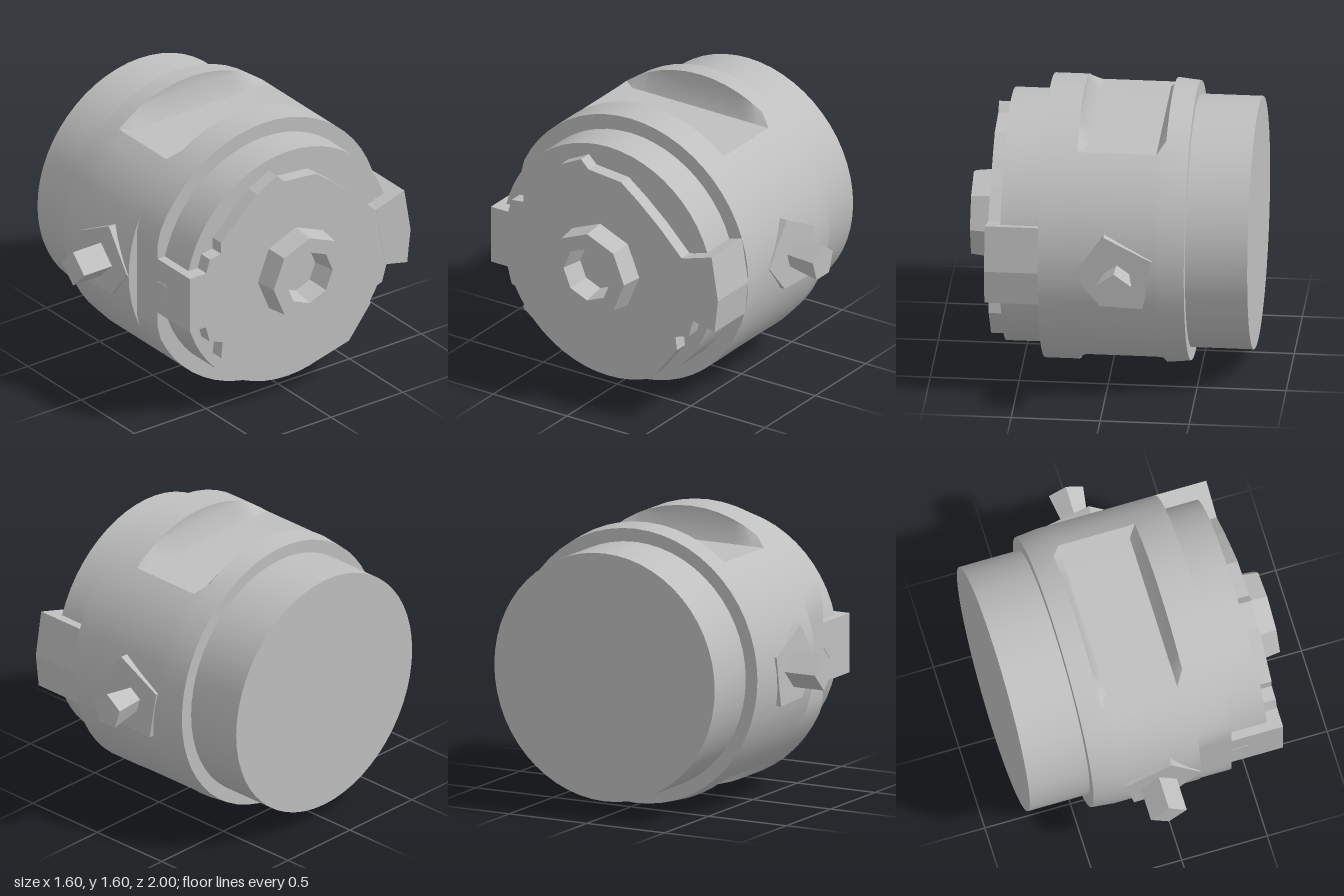
import * as THREE from 'three';
import { toCreasedNormals } from 'three/addons/utils/BufferGeometryUtils.js';

const AXIS_Y = 0.8;
const grey = new THREE.MeshStandardMaterial({ color: 0xbfbfbf });
grey.name = 'housing grey';

function add(group, name, geometry, x = 0, y = 0, z = 0) {
  const mesh = new THREE.Mesh(geometry, grey);
  mesh.name = name;
  mesh.position.set(x, y, z);
  group.add(mesh);
  return mesh;
}

// Flat-sided prism from outline points, extruded along +z
function prism(points, depth) {
  const shape = new THREE.Shape(points.map(([x, y]) => new THREE.Vector2(x, y)));
  return new THREE.ExtrudeGeometry(shape, { depth, bevelEnabled: false });
}

// Prism whose outline is given as (-z, y), extruded along +x
function endPrism(points, depth) {
  return prism(points, depth).rotateY(Math.PI / 2);
}

// Round body along x; each station is [x, radius, height limit, front limit]
function bodyGeometry() {
  const stations = [
    [-0.8, 0], [-0.8, 0.71], [-0.45, 0.71], [-0.45, 0.785],
    [-0.32, 0.798], [-0.32, 0.798, 0.73], [-0.27, 0.798, 0.62],
    [0.125, 0.798, 0.62], [0.175, 0.798, 0.73], [0.175, 0.798],
    [0.175, 0.798, 1, 0.74], [0.37, 0.798, 1, 0.74],
    [0.37, 0.71], [0.59, 0.71], [0.59, 0],
  ];
  const sides = 56;
  const positions = [];
  const index = [];
  stations.forEach(([x, r, h = 1, front = 1], j) => {
    for (let i = 0; i <= sides; i++) {
      const a = ((i % sides) / sides) * Math.PI * 2;
      const y = THREE.MathUtils.clamp(r * Math.cos(a), -h, h);
      positions.push(x, y, Math.min(r * Math.sin(a), front));
      if (j > 0 && i < sides) {
        const p = (j - 1) * (sides + 1) + i;
        const q = p + sides + 1;
        index.push(p, p + 1, q, p + 1, q + 1, q);
      }
    }
  });
  const geometry = new THREE.BufferGeometry();
  geometry.setAttribute('position', new THREE.Float32BufferAttribute(positions, 3));
  geometry.setIndex(index);
  return toCreasedNormals(geometry, 0.5);
}

export function createModel() {
  const model = new THREE.Group();
  model.name = 'cylindricalHousing';

  // Drum and sleeve with the flat pockets above and below
  add(model, 'body', bodyGeometry(), 0, AXIS_Y, 0);

  // Notched plate on the right end
  add(model, 'endPlate', endPrism([
    [-0.7, 0.63], [-0.63, 0.64], [-0.6, 0.53], [-0.51, 0.5], [-0.52, 0.4],
    [-0.24, 0.2], [-0.06, 0.17], [0, 0.21], [0.09, 0.16], [0.37, 0.23],
    [0.52, 0.42], [0.51, 0.5], [0.6, 0.53], [0.63, 0.63], [0.7, 0.63],
    [0.7, 1.03], [0.55, 1.0], [0.4, 1.15], [0.26, 1.27], [0.14, 1.36],
    [-0.08, 1.38], [-0.13, 1.43], [-0.27, 1.36], [-0.37, 1.27], [-0.52, 1.13],
    [-0.52, 1.06], [-0.6, 1.05], [-0.63, 0.95], [-0.7, 0.96],
  ], 0.08), 0.59, 0, 0);

  // Locking tabs joining the sleeve to the plate
  add(model, 'frontTab', endPrism(
    [[-0.74, 0.63], [-0.62, 0.63], [-0.62, 0.97], [-0.74, 0.97]], 0.301), 0.37, 0, 0);
  add(model, 'backTab', endPrism(
    [[0.62, 0.635], [0.775, 0.6], [0.798, 0.8], [0.755, 1.06], [0.56, 1.0]], 0.301), 0.37, 0, 0);
  add(model, 'tabMark', prism([[0.37, 0.83], [0.44, 0.755], [0.465, 0.835]], 0.004), 0, 0, 0.739);

  // Faceted hub with a tapered socket
  const hub = new THREE.LatheGeometry([
    [0.265, 0], [0.25, 0.13], [0.16, 0.13], [0.135, 0],
  ].map(([r, h]) => new THREE.Vector2(r, h)), 8);
  hub.rotateZ(-Math.PI / 2);
  add(model, 'hub', toCreasedNormals(hub, 0.3), 0.67, AXIS_Y, 0);

  // Shallow bosses carrying the side pins
  const boss = [[-0.22, 0.61], [0.02, 0.62], [0.17, 0.8], [0, 1.04], [-0.27, 0.9]];
  add(model, 'frontBoss', prism(boss, 0.1), 0, 0, 0.706);
  add(model, 'backBoss', prism(boss, 0.1), 0, 0, -0.806);

  // Square pin in front, flared five-sided pin behind
  const frontPin = new THREE.CylinderGeometry(0.105, 0.105, 0.25, 4).rotateX(Math.PI / 2);
  add(model, 'frontPin', toCreasedNormals(frontPin, 0.3), -0.075, AXIS_Y, 0.875);
  const backPin = new THREE.CylinderGeometry(0.105, 0.065, 0.25, 5).rotateX(-Math.PI / 2);
  add(model, 'backPin', toCreasedNormals(backPin, 0.3), -0.075, AXIS_Y, -0.875);

  return model;
}
